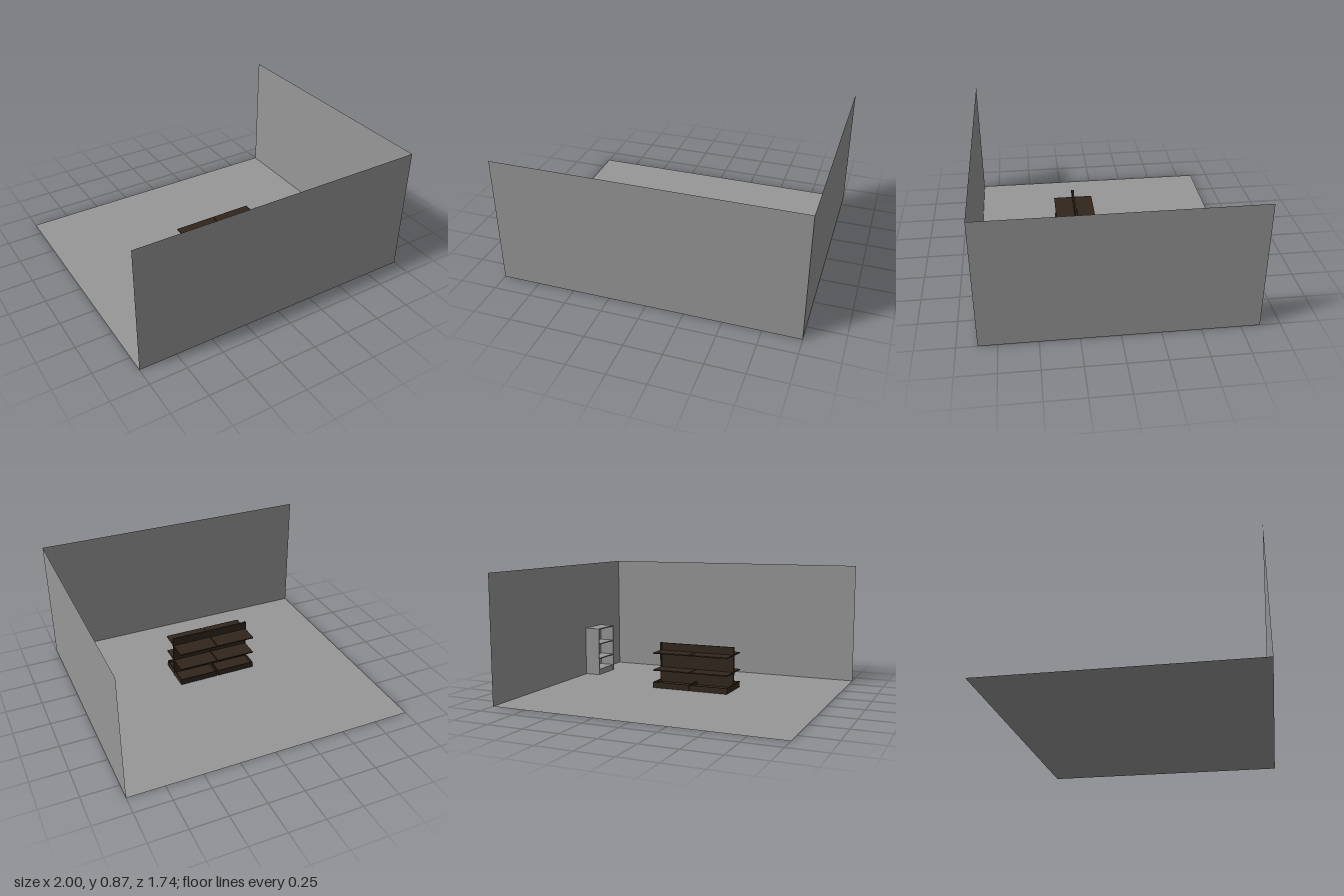
import * as THREE from 'three';

const grey = new THREE.MeshStandardMaterial({ color: 0x979797 });
const greyThin = new THREE.MeshStandardMaterial({ color: 0x979797, side: THREE.DoubleSide });
const brown = new THREE.MeshStandardMaterial({ color: 0x31261c });

// Box given by its lower and upper corners
function box(parent, name, material, [x0, y0, z0], [x1, y1, z1]) {
  const mesh = new THREE.Mesh(new THREE.BoxGeometry(x1 - x0, y1 - y0, z1 - z0), material);
  mesh.position.set((x0 + x1) / 2, (y0 + y1) / 2, (z0 + z1) / 2);
  mesh.name = name;
  parent.add(mesh);
}

function plane(parent, name, w, h) {
  const mesh = new THREE.Mesh(new THREE.PlaneGeometry(w, h), greyThin);
  mesh.name = name;
  parent.add(mesh);
  return mesh;
}

// Floor with two walls meeting at the front left corner
function createRoom() {
  const room = new THREE.Group();
  room.name = 'room';
  const W = 2, D = 1.74, H = 0.872;
  plane(room, 'floor', W, D).rotation.x = -Math.PI / 2;
  const front = plane(room, 'frontWall', W, H);
  front.position.set(0, H / 2, D / 2);
  front.rotation.y = Math.PI;
  const side = plane(room, 'sideWall', D, H);
  side.position.set(W / 2, H / 2, 0);
  side.rotation.y = -Math.PI / 2;
  return room;
}

// Narrow open bookcase, facing -x, against the side wall
function createBookcase() {
  const g = new THREE.Group();
  g.name = 'bookcase';
  const x0 = 0.88, x1 = 0.998, z0 = 0.31, z1 = 0.546, t = 0.008, H = 0.367, y0 = 0.002;
  box(g, 'bookcaseSide', grey, [x0, y0, z0], [x1, H, z0 + t]);
  box(g, 'bookcaseSide', grey, [x0, y0, z1 - t], [x1, H, z1]);
  box(g, 'bookcaseBack', grey, [x1 - 0.006, y0, z0 + t], [x1, H - t, z1 - t]);
  box(g, 'bookcaseTop', grey, [x0, H - t, z0 + t], [x1, H, z1 - t]);
  for (const y of [0.24, 0.125])
    box(g, 'bookcaseShelf', grey, [x0 + 0.002, y, z0 + t], [x1 - 0.006, y + t, z1 - t]);
  box(g, 'bookcasePlinth', grey, [x0 + 0.002, y0, z0 + t], [x1 - 0.006, 0.045, z1 - t]);
  return g;
}

// Double-sided display shelving: two bays, shelves on both faces of a central panel
function createDisplayShelving() {
  const g = new THREE.Group();
  g.name = 'displayShelving';
  g.position.set(0, 0.002, 0.19);
  const depth = 0.137, gap = 0.003, end = 0.287, half = 0.006, lip = 0.006;
  box(g, 'centrePanel', brown, [-end + 0.01, 0, -half], [end - 0.01, 0.313, half]);
  for (const x of [-end, -0.006, end - 0.012])
    box(g, 'post', brown, [x, 0, -0.01], [x + 0.012, 0.315, 0.01]);

  for (const sx of [-1, 1]) {
    const xa = sx < 0 ? -end + 0.002 : gap, xb = sx < 0 ? -gap : end - 0.002;
    for (const sz of [-1, 1]) {
      const za = sz < 0 ? -depth : half, zb = sz < 0 ? -half : depth;
      for (const y of [0.25, 0.125])
        box(g, 'shelf', brown, [xa, y, za], [xb, y + 0.008, zb]);
      // Base tray with a raised lip
      box(g, 'baseTray', brown, [xa, 0, za], [xb, 0.022, zb]);
      const zl = sz < 0 ? za : zb - lip;
      box(g, 'baseLip', brown, [xa, 0.022, zl], [xb, 0.042, zl + lip]);
      for (const x of [xa, xb - lip])
        box(g, 'baseLip', brown, [x, 0.022, sz < 0 ? za + lip : za], [x + lip, 0.042, sz < 0 ? zb : zb - lip]);
    }
  }
  return g;
}

export function createModel() {
  const model = new THREE.Group();
  model.name = 'shopRoom';
  model.add(createRoom(), createBookcase(), createDisplayShelving());
  return model;
}
